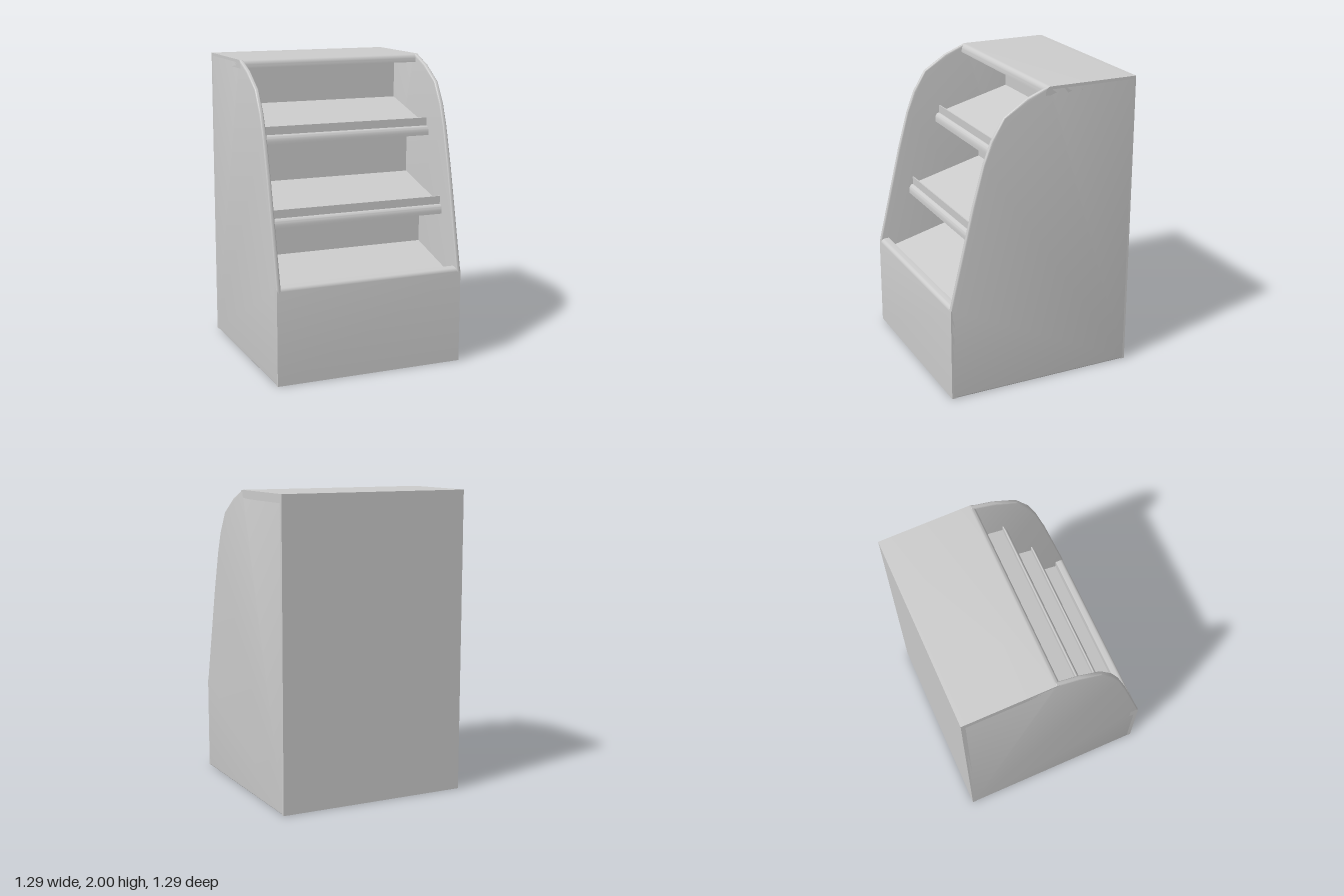
import * as THREE from 'three';
import { toCreasedNormals } from 'three/addons/utils/BufferGeometryUtils.js';

const material = new THREE.MeshStandardMaterial({ color: 0xcccccc, side: THREE.DoubleSide });
const HALF = 0.645; // half width and half depth
const WALL = 0.028; // side panel thickness

// Extrudes a (z, y) outline along x, from x0 over the given width
function profileMesh(name, shape, x0, width, bevel = 0) {
  let geo = new THREE.ExtrudeGeometry(shape, {
    depth: width - 2 * bevel,
    curveSegments: 8,
    bevelEnabled: bevel > 0,
    bevelThickness: bevel,
    bevelSize: bevel,
    bevelOffset: -bevel,
    bevelSegments: 4,
  });
  geo.rotateY(-Math.PI / 2);
  geo.translate(x0 + width - bevel, 0, 0);
  geo = toCreasedNormals(geo, 0.5);
  const mesh = new THREE.Mesh(geo, material);
  mesh.name = name;
  return mesh;
}

function outline(points) {
  return new THREE.Shape(points.map(([z, y]) => new THREE.Vector2(z, y)));
}

function rect(z0, z1, y0, y1) {
  return outline([[z0, y0], [z1, y0], [z1, y1], [z0, y1]]);
}

export function createModel() {
  const group = new THREE.Group();
  group.name = 'displayCabinet';
  const inner = HALF - WALL;
  const addInner = (name, shape) => group.add(profileMesh(name, shape, -inner, 2 * inner));
  const addFull = (name, shape) => group.add(profileMesh(name, shape, -HALF, 2 * HALF));

  // Side panels with softened edges and a swept front
  const side = outline([
    [-0.64, 0], [0.64, 0], [0.645, 0.63], [0.485, 1.3], [0.413, 1.56], [0.36, 1.7],
    [0.275, 1.84], [0.12, 1.94], [-0.03, 2], [-0.05, 1.99], [-0.64, 1.99],
  ]);
  group.add(profileMesh('leftSide', side, inner, WALL, 0.009));
  group.add(profileMesh('rightSide', side, -HALF, WALL, 0.009));

  // Rear wall
  addFull('backWall', rect(-HALF, -0.617, 0, 2));

  // Top with a rounded front edge
  const top = new THREE.Shape();
  top.moveTo(-HALF, 1.945);
  top.lineTo(-0.005, 1.945);
  top.lineTo(-0.005, 1.96);
  top.quadraticCurveTo(-0.008, 2, -0.042, 2);
  top.lineTo(-HALF, 2);
  addFull('topPanel', top);

  // Front wall with a thicker, rounded top rail
  const front = new THREE.Shape();
  front.moveTo(0.617, 0);
  front.lineTo(HALF, 0);
  front.lineTo(HALF, 0.61);
  front.quadraticCurveTo(HALF, 0.645, 0.61, 0.645);
  front.lineTo(0.585, 0.645);
  front.lineTo(0.585, 0.55);
  front.lineTo(0.617, 0.55);
  addFull('frontWall', front);

  // Stepped tiers: [back z, back y, front z, back panel top]
  const slope = 0.262, thick = 0.067;
  const tiers = [
    [0.083, 0.705, 0.6, 1.06],
    [-0.13, 1.165, 0.38, 1.57],
    [-0.347, 1.67, 0.168, 1.96],
  ];
  tiers.forEach(([zb, yb, zf, panelTop], i) => {
    const zr = zb - 0.041;
    const yAt = (z) => yb - slope * (z - zb);
    const yf = yAt(zf);

    // Sloping shelf and the upright panel behind it
    addInner(`shelf${i + 1}`, outline([
      [zr, yAt(zr) - thick], [zf, yf - thick], [zf, yf], [zr, yAt(zr)],
    ]));
    addInner(`shelfBack${i + 1}`, rect(zr, zb, yb - 0.275, panelTop));

    // Rounded nosing and thin upright lip on the open shelves
    if (i > 0) {
      const bottom = yf - thick;
      const nose = new THREE.Shape();
      nose.moveTo(zf, bottom);
      nose.lineTo(zf + 0.037, bottom);
      nose.lineTo(zf + 0.037, bottom + 0.02);
      nose.quadraticCurveTo(zf + 0.034, bottom + 0.06, zf + 0.008, bottom + 0.062);
      nose.lineTo(zf, bottom + 0.062);
      addInner(`shelfNosing${i + 1}`, nose);
      addInner(`shelfLip${i + 1}`, rect(zf, zf + 0.008, bottom + 0.03, bottom + 0.116));
    }
  });

  return group;
}
